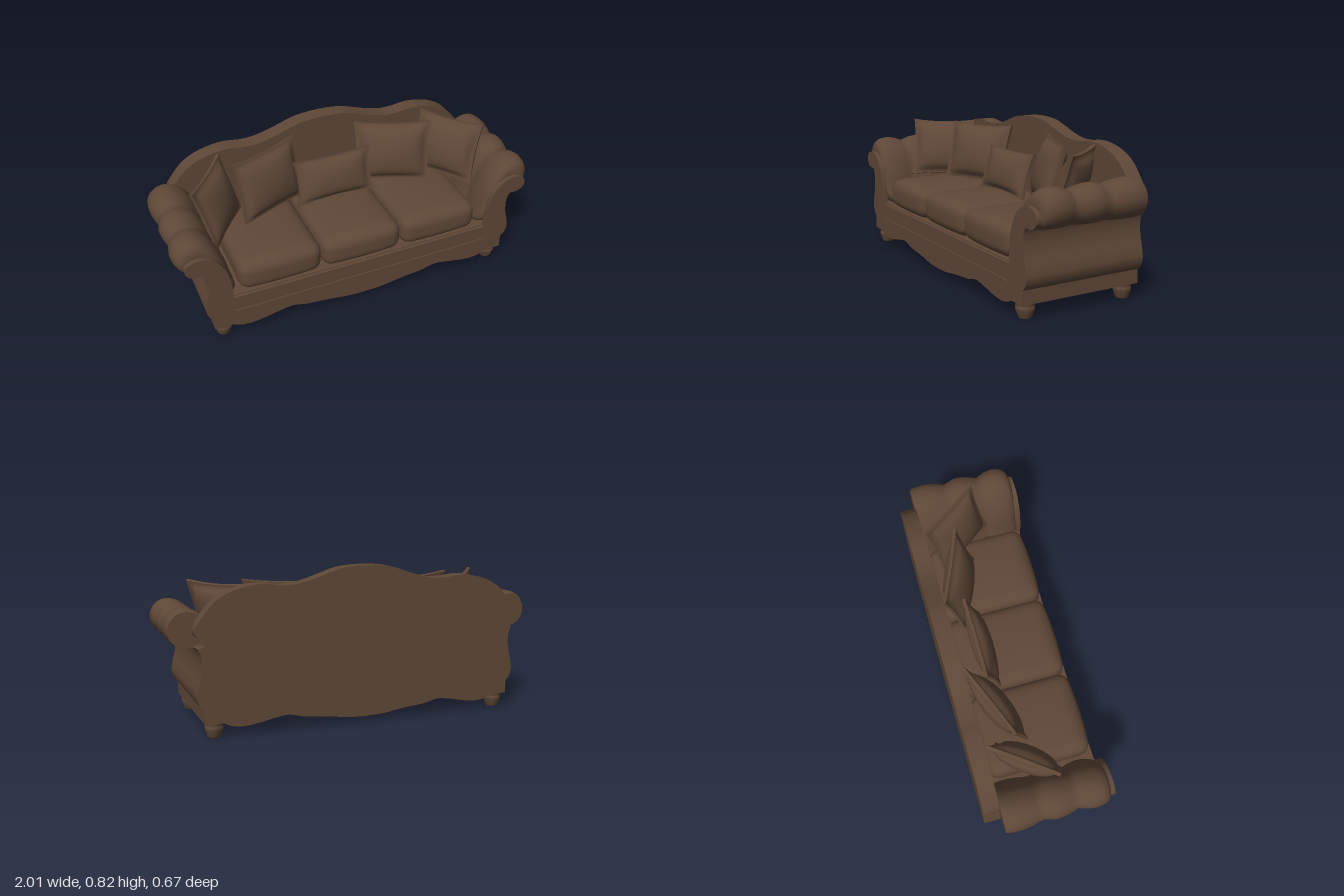
import * as THREE from 'three';
import { mergeVertices, toCreasedNormals } from 'three/addons/utils/BufferGeometryUtils.js';

const upholstery = new THREE.MeshStandardMaterial({ color: 0x5e4737 });
upholstery.name = 'brown upholstery';

const V = ([x, y]) => new THREE.Vector3(x, y, 0);

// Smooth curve through a few [x, y] points
function smooth(points, samples = 40, closed = false) {
  const pts = new THREE.CatmullRomCurve3(points.map(V), closed, 'centripetal').getSpacedPoints(samples);
  if (closed) pts.pop();
  return pts.map(p => [p.x, p.y]);
}

// Symmetric slab from the +x half of an outline (bottom centre to top centre)
function slab(name, half, z0, z1) {
  const mirrored = half.map(([x, y]) => [-x, y]).reverse();
  const shape = new THREE.Shape([...half, ...mirrored].map(([x, y]) => new THREE.Vector2(x, y)));
  const geo = new THREE.ExtrudeGeometry(shape, { depth: z1 - z0, bevelEnabled: false });
  geo.translate(0, 0, z0);
  return part(name, toCreasedNormals(geo, 0.6));
}

function part(name, geo) {
  const mesh = new THREE.Mesh(geo, upholstery);
  mesh.name = name;
  return mesh;
}

// Scalloped lower edge and curved flank shared by body, back and front frame
const apron = [...smooth([[0.001, 0.034], [0.1, 0.038], [0.18, 0.05], [0.26, 0.06], [0.34, 0.068], [0.42, 0.086],
  [0.5, 0.076], [0.58, 0.06], [0.66, 0.052], [0.72, 0.062], [0.75, 0.078]]), [0.845, 0.078]];
const flank = [...smooth([[0.845, 0.15], [0.862, 0.165], [0.878, 0.21], [0.872, 0.26], [0.856, 0.32],
  [0.85, 0.38], [0.858, 0.43], [0.872, 0.452]], 24)];

// Arm pad: scroll section lofted along z, swelling into three rolls
function armPad(side) {
  let section = smooth([[0.7, 0.25], [0.8, 0.25], [0.83, 0.4], [0.87, 0.445], [0.92, 0.44], [0.975, 0.47],
    [1, 0.53], [0.985, 0.585], [0.945, 0.62], [0.89, 0.627], [0.83, 0.6], [0.78, 0.54], [0.74, 0.45], [0.715, 0.35]], 56, true);
  if (side < 0) section = section.map(([x, y]) => [-x, y]).reverse();
  const rings = [[-0.252, 0.01], [-0.252, 0.96], [-0.252, 0.96], [-0.24, 1], [-0.2, 1.03], [-0.16, 1.03], [-0.11, 0.98],
    [-0.075, 0.92], [-0.055, 0.89], [-0.03, 0.93], [0, 0.99], [0.03, 1], [0.07, 0.96], [0.11, 0.89], [0.132, 0.845],
    [0.15, 0.89], [0.18, 0.96], [0.22, 1], [0.26, 0.97], [0.285, 0.9], [0.3, 0.81], [0.308, 0.7], [0.312, 0.57], [0.312, 0.01]];
  const pos = [], idx = [], n = section.length;
  const cx = 0.85 * side, cy = 0.47;
  rings.forEach(([z, s], i) => section.forEach(([x, y], j) => {
    pos.push(cx + (x - cx) * s, cy + (y - cy) * s, z);
    if (!i) return;
    const k = (j + 1) % n, a = (i - 1) * n, b = i * n;
    idx.push(a + j, a + k, b + k, a + j, b + k, b + j);
  }));
  const geo = new THREE.BufferGeometry();
  geo.setAttribute('position', new THREE.Float32BufferAttribute(pos, 3));
  geo.setIndex(idx);
  geo.computeVertexNormals();
  return geo;
}

// Seat cushion: box with rounded edges and a gently crowned top
function cushion(w, h, d, r) {
  const geo = new THREE.BoxGeometry(w, h, d, 20, 10, 20);
  geo.deleteAttribute('uv');
  geo.deleteAttribute('normal');
  const p = geo.attributes.position, v = new THREE.Vector3();
  const limit = new THREE.Vector3(w / 2 - r, h / 2 - r, d / 2 - r);
  for (let i = 0; i < p.count; i++) {
    v.fromBufferAttribute(p, i);
    const core = v.clone().clamp(limit.clone().negate(), limit);
    v.sub(core).normalize().multiplyScalar(r).add(core);
    const u = 2 * v.x / w, t = 2 * v.z / d;
    if (v.y > 0) v.y += 0.022 * (1 - u * u) * (1 - t * t * t * t) * (2 * v.y / h);
    if (v.z > 0) v.z += 0.012 * (1 - u * u) * t;
    p.setXYZ(i, v.x, v.y, v.z);
  }
  const merged = mergeVertices(geo);
  merged.computeVertexNormals();
  return merged;
}

// Throw pillow: thin flange with pointed corners around a plump centre
function pillow(w, h, d) {
  const geo = new THREE.BoxGeometry(2, 2, 2, 28, 28, 1);
  const p = geo.attributes.position;
  for (let i = 0; i < p.count; i++) {
    const u = p.getX(i), v = p.getY(i);
    const fill = Math.max(0, 1 - (u / 0.87) ** 2) * Math.max(0, 1 - (v / 0.87) ** 2);
    p.setXYZ(i,
      u * w / 2 * (1 - 0.07 * (1 - v * v)),
      v * h / 2 * (1 - 0.08 * (1 - u * u)),
      Math.sign(p.getZ(i)) * (0.009 + d / 2 * Math.pow(fill, 0.45)));
  }
  geo.computeVertexNormals();
  return geo;
}

export function createModel() {
  const sofa = new THREE.Group();
  sofa.name = 'sofa';

  // Main body between the front frame and the back
  sofa.add(slab('body', [...apron, ...flank, [0.82, 0.478], [0.79, 0.45], [0.77, 0.25], [0.001, 0.25]], -0.26, 0.312));

  // Camel-shaped back
  const crest = smooth([[0.83, 0.485], [0.865, 0.5], [0.882, 0.53], [0.87, 0.565], [0.83, 0.62], [0.78, 0.675],
    [0.7, 0.72], [0.6, 0.745], [0.53, 0.748], [0.45, 0.738], [0.38, 0.74], [0.3, 0.757], [0.22, 0.783],
    [0.14, 0.808], [0.07, 0.817], [0.001, 0.82]], 60);
  sofa.add(slab('back', [...apron, ...flank, [0.835, 0.46], ...crest], -0.335, -0.25));

  // Front frame: apron and scrolled arm faces in one piece
  const scroll = smooth([[0.872, 0.446], [0.92, 0.45], [0.952, 0.475], [0.955, 0.505], [0.935, 0.533], [0.895, 0.546],
    [0.85, 0.541], [0.8, 0.51], [0.76, 0.45], [0.737, 0.36], [0.73, 0.25]], 40);
  sofa.add(slab('frontFrame', [...apron, ...flank, ...scroll, [0.73, 0.163], [0.001, 0.163]], 0.305, 0.335));

  // Recessed rail under the seat
  const rail = part('seatRail', new THREE.BoxGeometry(1.47, 0.085, 0.05));
  rail.position.set(0, 0.203, 0.303);
  sofa.add(rail);

  for (const side of [-1, 1]) {
    sofa.add(part(side > 0 ? 'leftArm' : 'rightArm', armPad(side)));

    // Turned bun feet
    for (const z of [-0.283, 0.283]) {
      const profile = [[0, 0], [0.03, 0], [0.034, 0.006], [0.04, 0.025], [0.047, 0.045], [0.047, 0.056],
        [0.041, 0.063], [0.047, 0.07], [0.047, 0.085], [0, 0.085]];
      const foot = part('foot', new THREE.LatheGeometry(profile.map(q => new THREE.Vector2(...q)), 24));
      foot.position.set(side * 0.79, 0, z);
      sofa.add(foot);
    }
  }

  // Three seat cushions
  for (const i of [-1, 0, 1]) {
    const seat = part('seatCushion', cushion(0.452, 0.16, 0.55, 0.055));
    seat.position.set(i * 0.457, 0.324, 0.032);
    sofa.add(seat);
  }

  // Throw pillows: [name, width, height, depth, x, y, z, turn, lean]
  const pillows = [['lumbarPillow', 0.45, 0.25, 0.09, 0, 0.525, -0.1, 0, -0.3]];
  for (const side of [-1, 1]) {
    pillows.push(['backPillow', 0.43, 0.345, 0.12, side * 0.365, 0.58, -0.125, -side * 0.38, -0.26]);
    pillows.push(['cornerPillow', 0.38, 0.345, 0.12, side * 0.675, 0.575, -0.055, -side * 0.93, -0.3]);
  }
  for (const [name, w, h, d, x, y, z, turn, lean] of pillows) {
    const mesh = part(name, pillow(w, h, d));
    mesh.position.set(x, y, z);
    mesh.rotation.set(lean, turn, 0, 'YXZ');
    sofa.add(mesh);
  }
  return sofa;
}
